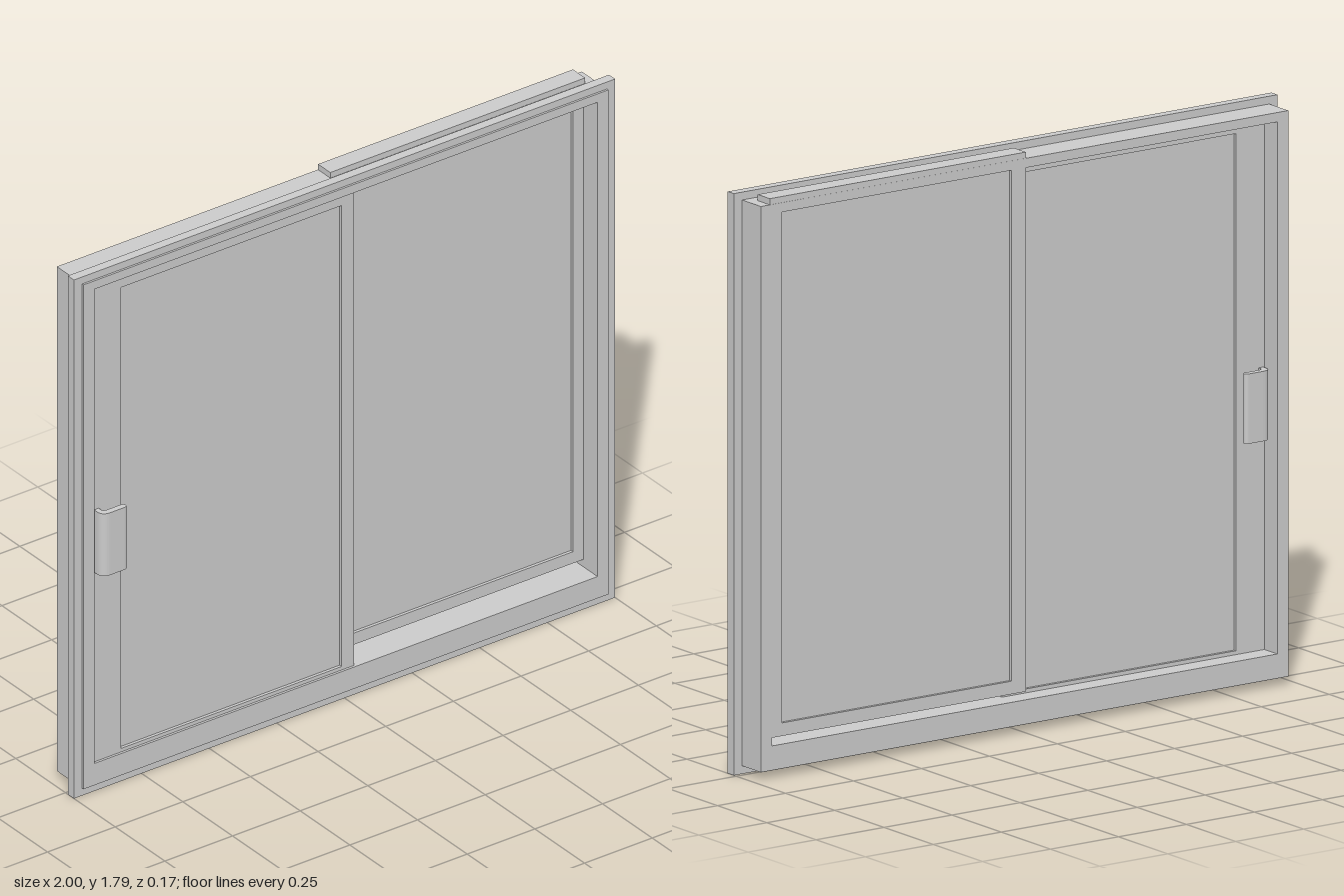
import * as THREE from 'three';

const grey = new THREE.MeshStandardMaterial({ color: 0xcccccc });

function add(parent, name, geometry) {
  const mesh = new THREE.Mesh(geometry, grey);
  mesh.name = name;
  parent.add(mesh);
  return mesh;
}

// Rectangles are [x0, y0, x1, y1]
function trace(path, [x0, y0, x1, y1]) {
  path.moveTo(x0, y0);
  path.lineTo(x1, y0);
  path.lineTo(x1, y1);
  path.lineTo(x0, y1);
  path.closePath();
  return path;
}

// Rectangular ring between depths z0 and z1
function ring(outer, inner, z0, z1) {
  const shape = trace(new THREE.Shape(), outer);
  shape.holes.push(trace(new THREE.Path(), inner));
  return new THREE.ExtrudeGeometry(shape, { depth: z1 - z0, bevelEnabled: false }).translate(0, 0, z0);
}

// Solid panel between depths z0 and z1
function panel([x0, y0, x1, y1], z0, z1) {
  return new THREE.BoxGeometry(x1 - x0, y1 - y0, z1 - z0)
    .translate((x0 + x1) / 2, (y0 + y1) / 2, (z0 + z1) / 2);
}

// Sash: a rail-and-stile ring holding a slightly recessed pane
function sash(name, outer, opening, z0, z1) {
  const group = new THREE.Group();
  group.name = name;
  add(group, name + 'Frame', ring(outer, opening, z0, z1));
  add(group, name + 'Glass', panel(opening, z0 + 0.01, z1 - 0.01));
  return group;
}

// Curved pull; the profile lies in x (width) and y (distance from the sash)
function pullGeometry(direction) {
  const d = direction;
  const s = new THREE.Shape();
  s.moveTo(-0.925, 0);
  s.lineTo(-0.925, 0.018 * d);
  s.quadraticCurveTo(-0.922, 0.042 * d, -0.895, 0.042 * d);
  s.lineTo(-0.845, 0.042 * d);
  s.quadraticCurveTo(-0.832, 0.042 * d, -0.832, 0.032 * d);
  s.quadraticCurveTo(-0.832, 0.022 * d, -0.845, 0.022 * d);
  s.lineTo(-0.89, 0.022 * d);
  s.quadraticCurveTo(-0.908, 0.022 * d, -0.908, 0.01 * d);
  s.lineTo(-0.908, 0);
  s.closePath();
  // Turn the extrusion upright: profile y becomes z, depth runs downward
  return new THREE.ExtrudeGeometry(s, { depth: 0.215, bevelEnabled: false, curveSegments: 8 })
    .rotateX(Math.PI / 2).translate(0, 0.97, 0);
}

export function createModel() {
  const model = new THREE.Group();
  model.name = 'slidingWindow';

  // Fixed surround: deep box frame with a thin flange around it
  const opening = [-0.93, 0.1, 0.93, 1.737];
  add(model, 'outerFrame', ring([-0.97, 0.025, 0.97, 1.766], opening, -0.084, 0.05));
  add(model, 'mountingFlange', ring([-1, 0, 1, 1.79], [-0.965, 0.03, 0.965, 1.76], 0.012, 0.043));

  // Sliding sash in the front track
  const sliding = sash('slidingSash', [-0.935, 0.07, 0.035, 1.75], [-0.825, 0.112, -0.01, 1.703], -0.018, 0.042);
  model.add(sliding);

  // Pulls on both faces of the sliding sash
  add(sliding, 'frontPull', pullGeometry(1)).position.z = 0.042;
  add(sliding, 'backPull', pullGeometry(-1)).position.z = -0.018;

  // Second sash in the back track, its top rail seated above the head
  model.add(sash('backSash', [-0.005, 0.125, 0.937, 1.785], [0.047, 0.165, 0.892, 1.74], -0.0835, -0.022));

  return model;
}
